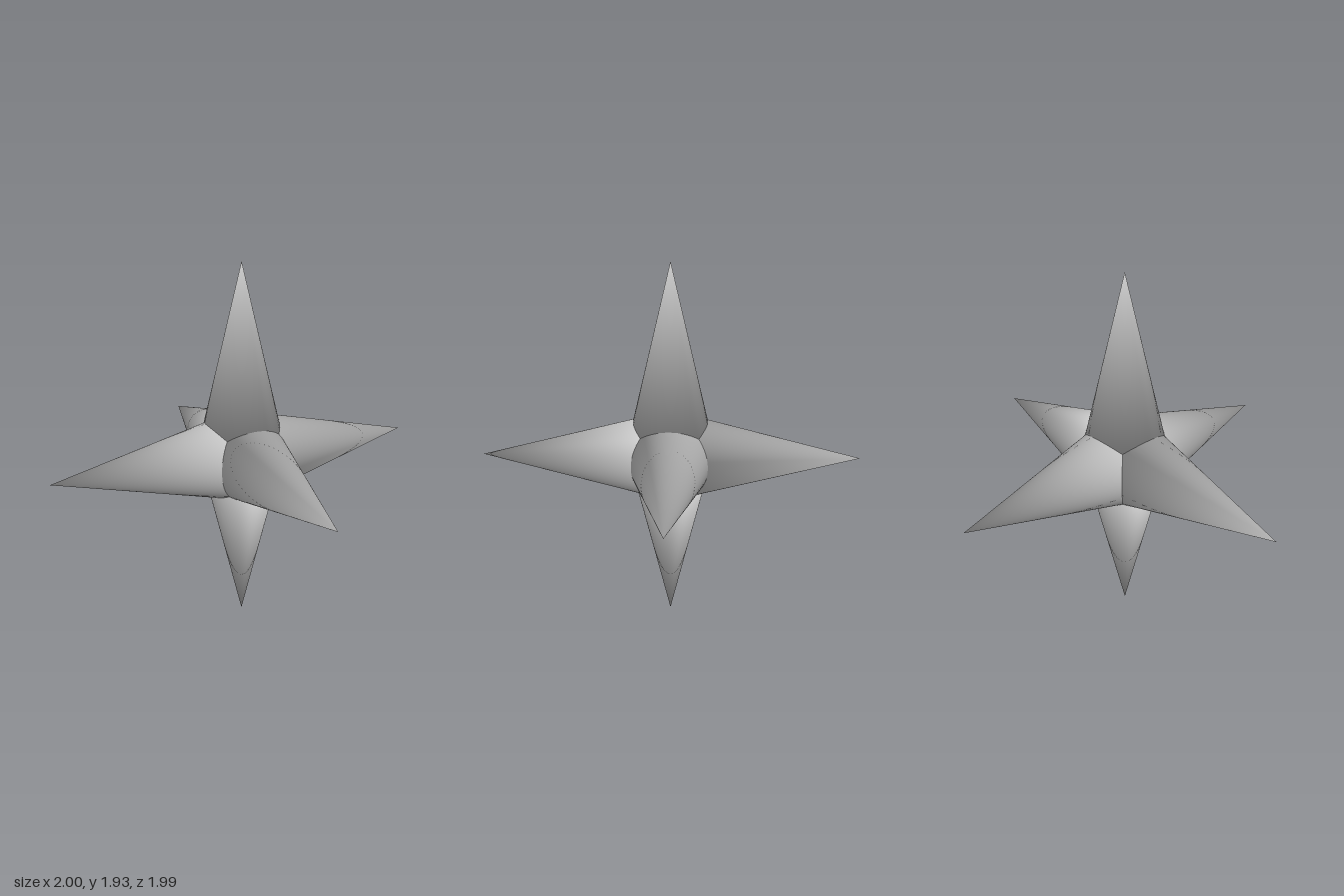
import * as THREE from 'three';

const CENTER = new THREE.Vector3(0.005, 0.925, 0);
const INSET = 0.08; // distance from the centre to each spike's base

// Closed cone, shaded softly from the tip over the base rim
function spikeGeometry(radius, length) {
  const g = new THREE.ConeGeometry(radius, length, 64, 1);
  const p = g.attributes.position;
  const n = new THREE.Vector3();
  for (let i = 0; i < p.count; i++) {
    const r = Math.hypot(p.getX(i), p.getZ(i));
    if (r < 1e-4) n.set(0, Math.sign(p.getY(i)), 0);
    else n.set(0.78 * p.getX(i) / r, -0.62, 0.78 * p.getZ(i) / r);
    g.attributes.normal.setXYZ(i, n.x, n.y, n.z);
  }
  return g;
}

export function createModel() {
  const star = new THREE.Group();
  star.name = 'sixPointedStar';
  const material = new THREE.MeshStandardMaterial({ color: 0xcccccc });

  // name, direction, tip, base radius
  const spikes = [
    ['topSpike', [0, 1, 0], [0.005, 1.93, 0], 0.222],
    ['bottomSpike', [0, -1, 0], [0.005, 0, 0], 0.202],
    ['leftSpike', [1, 0, 0], [1, 0.943, -0.005], 0.222],
    ['rightSpike', [-1, 0, 0], [-1, 0.922, -0.005], 0.222],
    ['frontSpike', [0, 0, 1], [0.005, 0.922, 0.995], 0.22],
    ['backSpike', [0, 0, -1], [0.005, 0.922, -0.995], 0.22],
  ];

  const up = new THREE.Vector3(0, 1, 0);
  for (const [name, dir, tipAt, radius] of spikes) {
    const base = CENTER.clone().addScaledVector(new THREE.Vector3(...dir), INSET);
    const tip = new THREE.Vector3(...tipAt);
    const axis = tip.clone().sub(base);
    const spike = new THREE.Mesh(spikeGeometry(radius, axis.length()), material);
    spike.name = name;
    spike.position.copy(base).add(tip).multiplyScalar(0.5);
    spike.quaternion.setFromUnitVectors(up, axis.normalize());
    star.add(spike);
  }
  return star;
}
